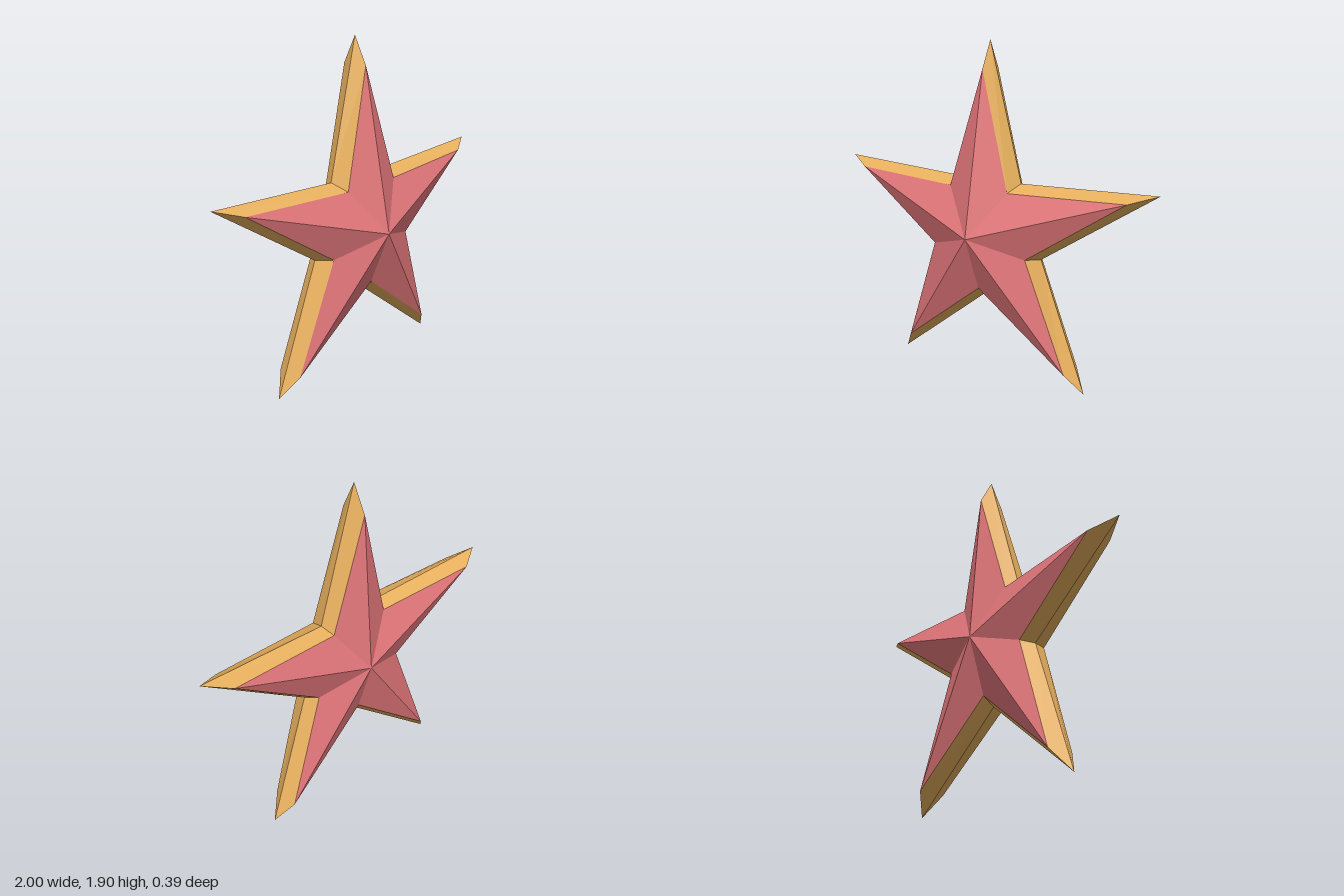
import * as THREE from 'three';

const CENTRE_Y = 0.851;

// Ten-point star outline, counter-clockwise from the top tip
function starRing(tipR, tipZ, notchR, notchZ) {
  return Array.from({ length: 10 }, (_, i) => {
    const a = Math.PI / 2 + (i * Math.PI) / 5;
    const r = i % 2 ? notchR : tipR;
    return [r * Math.cos(a), CENTRE_Y + r * Math.sin(a), i % 2 ? notchZ : tipZ];
  });
}

// Faceted mesh from a list of triangle corners
function facetMesh(name, corners, color) {
  const geometry = new THREE.BufferGeometry();
  geometry.setAttribute('position', new THREE.Float32BufferAttribute(corners.flat(), 3));
  geometry.computeVertexNormals();
  const mesh = new THREE.Mesh(geometry, new THREE.MeshStandardMaterial({ color, flatShading: true }));
  mesh.name = name;
  return mesh;
}

// Pyramid-like face from a ring to an apex
function fan(ring, apex, reverse) {
  return ring.flatMap((p, i) => {
    const q = ring[(i + 1) % ring.length];
    return reverse ? [apex, q, p] : [apex, p, q];
  });
}

// Strip of quads joining two rings, front one first
function band(front, back) {
  return front.flatMap((a, i) => {
    const j = (i + 1) % front.length;
    return [a, back[i], back[j], a, back[j], front[j]];
  });
}

export function createModel() {
  const star = new THREE.Group();
  star.name = 'star';

  const front = starRing(0.9, 0.025, 0.316, 0.068);
  const ridge = starRing(1.0515, -0.052, 0.364, -0.031);
  const back = starRing(0.9, -0.13, 0.316, -0.1);

  // Raised faces
  const pink = 0xe5787c, gold = 0xe8b05e;
  star.add(facetMesh('frontFace', fan(front, [0, CENTRE_Y, 0.197], false), pink));
  star.add(facetMesh('backFace', fan(back, [0, CENTRE_Y, -0.197], true), pink));

  // Bevelled rim
  star.add(facetMesh('rim', [...band(front, ridge), ...band(ridge, back)], gold));
  return star;
}
